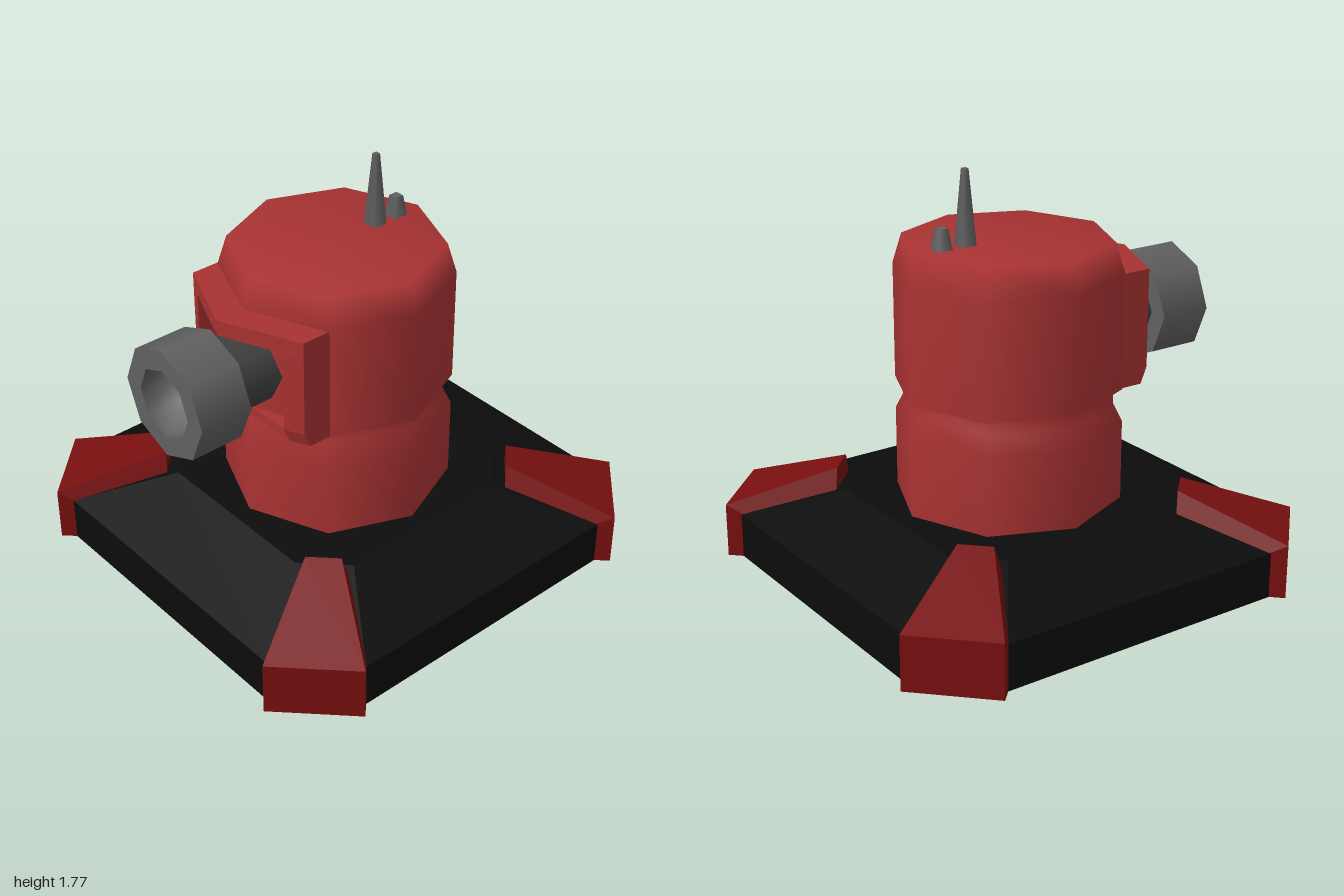
import * as THREE from 'three';
import { ConvexGeometry } from 'three/addons/geometries/ConvexGeometry.js';

const material = (name, color) => {
  const m = new THREE.MeshStandardMaterial({ color });
  m.name = name;
  return m;
};

export function createModel() {
  const model = new THREE.Group();
  model.name = 'turret';
  const red = material('armour red', 0xa83232);
  const darkRed = material('foot dark red', 0x780f0f);
  const black = material('base black', 0x0c0c0c);
  const grey = material('metal grey', 0x606060);
  const darkGrey = material('neck dark grey', 0x404040);

  const add = (name, geometry, mat, parent = model) => {
    const mesh = new THREE.Mesh(geometry, mat);
    mesh.name = name;
    parent.add(mesh);
    return mesh;
  };
  // Faceted solid around a few corner points
  const hull = (points) => new ConvexGeometry(points.map((p) => new THREE.Vector3(...p)));
  // Upright prism from an outline of [x, z] corners
  const prism = (outline, y0, y1) =>
    hull(outline.flatMap(([x, z]) => [[x, y0, z], [x, y1, z]]));
  // Smooth eight-sided turning from [radius, y] points
  const octagon = (profile) =>
    new THREE.LatheGeometry(profile.map(([r, y]) => new THREE.Vector2(r, y)), 8);

  // Square base with cut corners and a sloping top
  const basePoints = [];
  for (const [half, side, y] of [[0.95, 0.67, 0], [0.95, 0.67, 0.2], [0.57, 0.4, 0.32]]) {
    for (const sx of [-1, 1]) for (const sz of [-1, 1]) {
      basePoints.push([sx * half, y, sz * side], [sx * side, y, sz * half]);
    }
  }
  add('base', hull(basePoints), black);

  // Corner feet, wide outside and narrow towards the body
  const footPoints = [];
  for (const s of [-1, 1]) {
    footPoints.push([s * 0.2, 0, 1.213], [s * 0.2, 0.24, 1.213],
      [s * 0.2, 0.002, 0.74], [s * 0.074, 0.4, 0.74]);
  }
  const footGeometry = hull(footPoints);
  for (let i = 0; i < 4; i++) {
    add('foot', footGeometry, darkRed).rotation.y = Math.PI / 4 + i * Math.PI / 2;
  }

  // Body and rotating head
  add('body', octagon([[0.49, 0.3], [0.49, 0.67], [0.45, 0.75], [0.45, 0.83]]), red);
  const head = new THREE.Group();
  head.name = 'head';
  model.add(head);
  add('headFloor', octagon([[0, 0.815], [0.49, 0.815]]), red, head);
  add('headShell', octagon([[0.49, 0.815], [0.49, 1.32], [0.45, 1.45], [0, 1.45]]), red, head);

  // Cowl around the gun opening: roof, floor and two cheeks
  add('cowlRoof', prism([[-0.3, 0.35], [-0.47, 0.35], [-0.62, 0], [-0.47, -0.35], [-0.3, -0.35]],
    1.25, 1.32), red, head);
  add('cowlFloor', prism([[-0.3, 0.33], [-0.45, 0.33], [-0.48, 0.27], [-0.48, -0.27],
    [-0.45, -0.33], [-0.3, -0.33]], 0.82, 0.86), red, head);
  for (const s of [-1, 1]) {
    const cheek = [];
    for (const [y, inset] of [[0.82, 0.03], [0.89, 0], [1.26, 0]]) {
      cheek.push([-0.32, y, s * 0.35], [-0.47 + inset, y, s * 0.35],
        [-0.51 + inset, y, s * 0.27], [-0.34, y, s * 0.27]);
    }
    add('cowlCheek', hull(cheek), red, head);
  }

  // Gun pointing along -x
  const gun = new THREE.Group();
  gun.name = 'gun';
  gun.position.y = 1.045;
  gun.rotation.z = Math.PI / 2;
  model.add(gun);
  add('gunNeck', octagon([[0.16, 0.35], [0.16, 0.66]]), darkGrey, gun);
  add('muzzleBack', octagon([[0.1, 0.65], [0.246, 0.65]]), grey, gun);
  add('muzzleSides', octagon([[0.246, 0.65], [0.246, 0.89]]), grey, gun);
  add('muzzleRim', octagon([[0.246, 0.89], [0.155, 0.89]]), grey, gun);
  add('muzzleBore', octagon([[0.155, 0.89], [0.155, 0.74], [0, 0.74]]), grey, gun);

  // Square tapering aerials on the roof
  for (const [name, x, top, height] of [['tallAerial', 0.21, 0.011, 0.32], ['shortAerial', 0.325, 0.02, 0.09]]) {
    const geometry = new THREE.CylinderGeometry(top * Math.SQRT2, 0.033 * Math.SQRT2, height, 4);
    const aerial = add(name, geometry, grey);
    aerial.position.set(x, 1.45 + height / 2, 0);
    aerial.rotation.y = Math.PI / 4;
  }
  return model;
}
